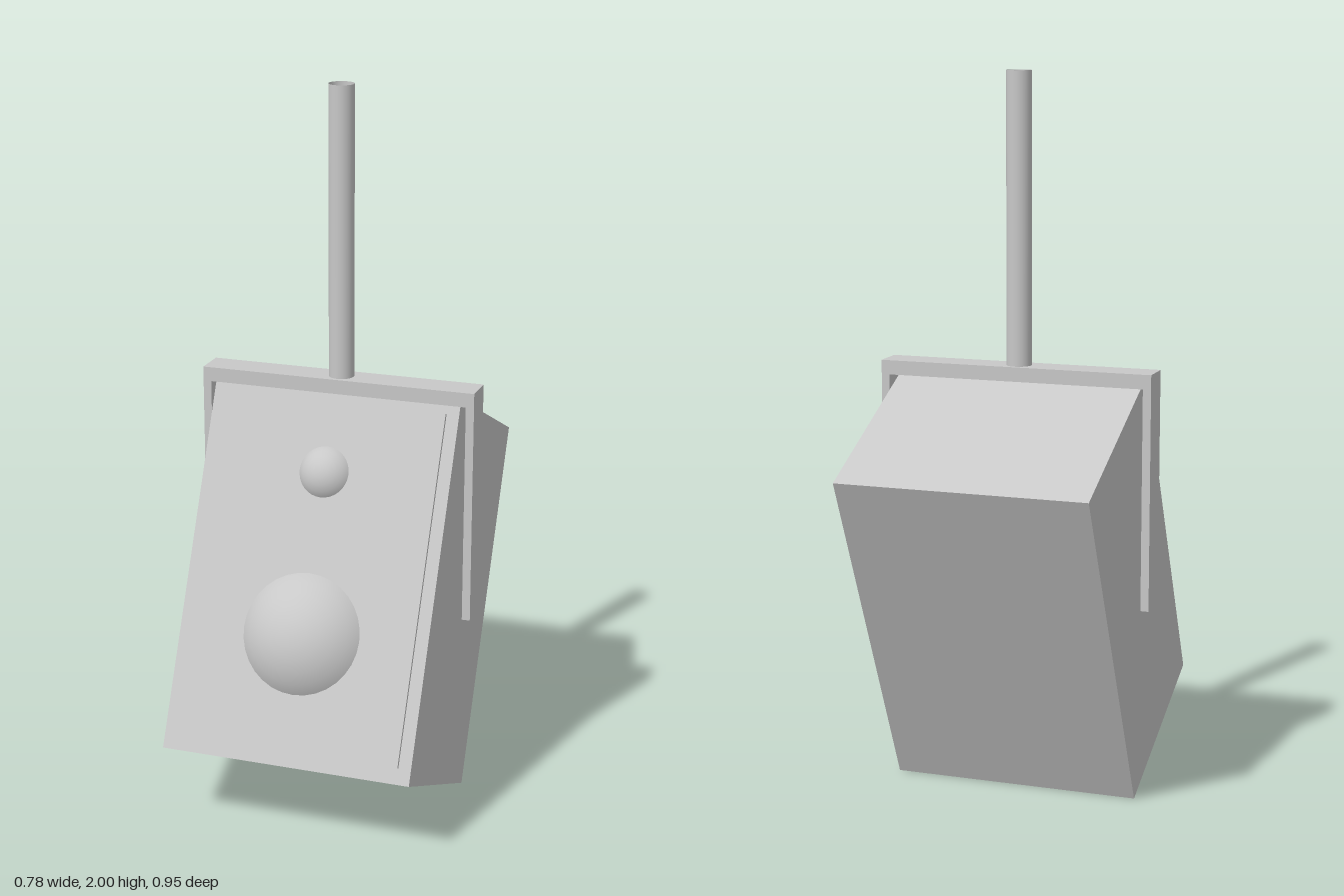
import * as THREE from 'three';

export function createModel() {
  const model = new THREE.Group();
  const grey = new THREE.MeshStandardMaterial({ color: 0xc8c8c8, side: THREE.DoubleSide });
  grey.name = 'light grey';

  const add = (parent, name, geometry, x, y, z) => {
    const mesh = new THREE.Mesh(geometry, grey);
    mesh.name = name;
    mesh.position.set(x, y, z);
    parent.add(mesh);
    return mesh;
  };

  // Speaker cabinet, leaning back so its face looks slightly upward
  const H = 1.037, D = 0.565, tilt = THREE.MathUtils.degToRad(25);
  const speaker = new THREE.Group();
  speaker.name = 'speaker';
  speaker.position.y = (H * Math.cos(tilt) + D * Math.sin(tilt)) / 2;
  speaker.rotation.x = -tilt;
  model.add(speaker);
  add(speaker, 'cabinet', new THREE.BoxGeometry(0.704, H, D), 0, 0, 0);

  // Thin front panel
  const face = D / 2 + 0.01;
  add(speaker, 'frontPanel', new THREE.BoxGeometry(0.634, 0.949, 0.01), 0, 0, face - 0.005);

  // Domed drivers: spherical caps of given rim radius and height
  const dome = (name, radius, height, rings, y) => {
    const R = (radius * radius + height * height) / (2 * height);
    const cap = new THREE.SphereGeometry(R, 32, rings, 0, Math.PI * 2, 0, Math.asin(radius / R));
    cap.rotateX(Math.PI / 2);
    add(speaker, name, cap, 0, y, face + height - R);
  };
  dome('woofer', 0.165, 0.075, 5, -0.16);
  dome('tweeter', 0.07, 0.036, 4, 0.282);

  // U-shaped bracket: one extruded outline
  const outline = new THREE.Shape([
    [-0.39, 0.545], [-0.367, 0.545], [-0.367, 1.16], [0.367, 1.16],
    [0.367, 0.545], [0.39, 0.545], [0.39, 1.2], [-0.39, 1.2],
  ].map(([x, y]) => new THREE.Vector2(x, y)));
  add(model, 'bracket', new THREE.ExtrudeGeometry(outline, { depth: 0.092, bevelEnabled: false }), 0, 0, -0.046);

  // Hollow hanging rod
  add(model, 'rod', new THREE.CylinderGeometry(0.035, 0.035, 0.8, 32, 1, true), 0, 1.6, 0);

  return model;
}
